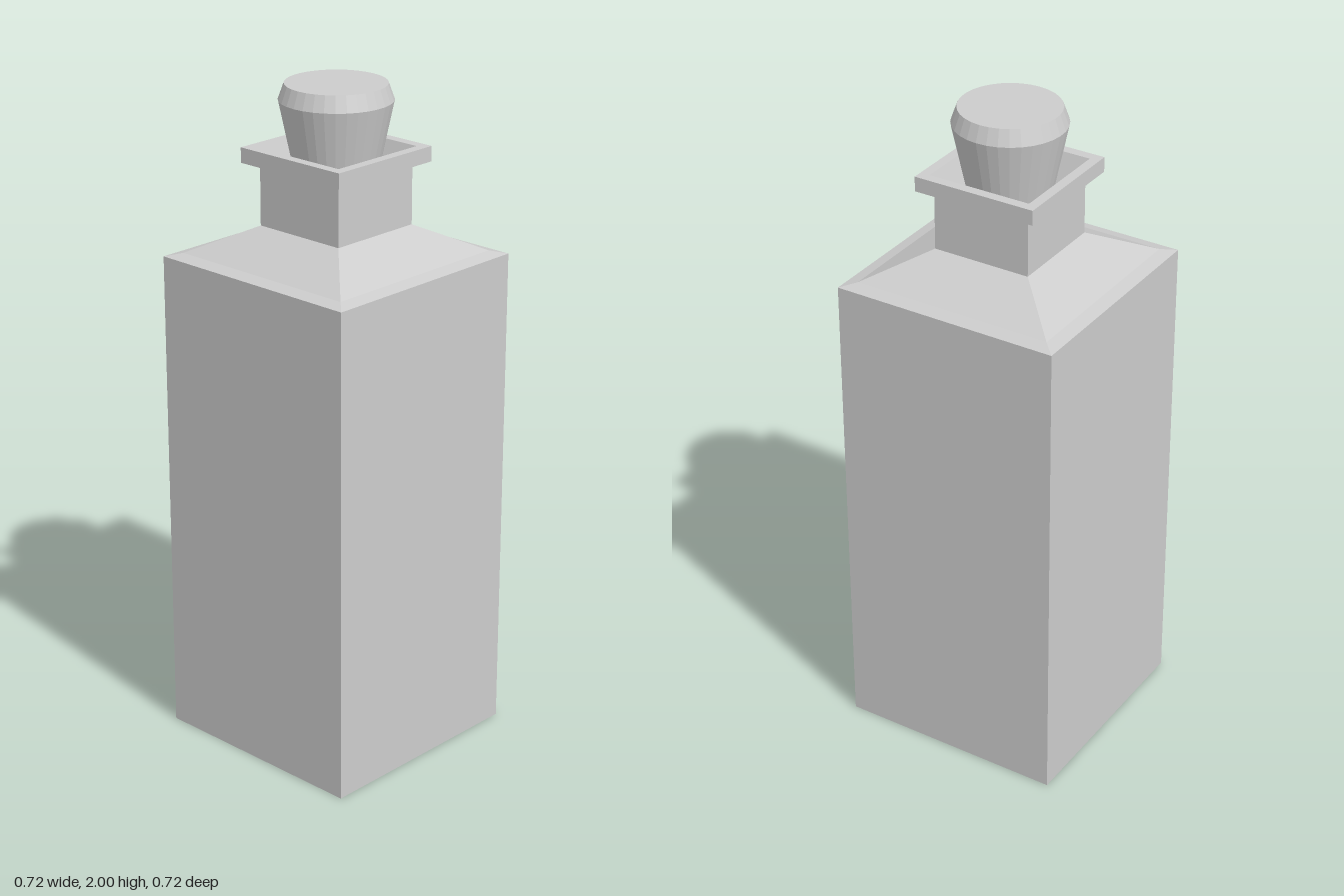
import * as THREE from 'three';

export function createModel() {
  const model = new THREE.Group();
  model.name = 'stopperedBottle';
  const grey = new THREE.MeshStandardMaterial({ color: 0xcccccc });
  grey.name = 'light grey';
  grey.flatShading = true;

  // Turned profile of [radius, y] points, listed bottom to top along the outside
  function turned(name, profile, sides, parent) {
    const points = profile.map(([r, y]) => new THREE.Vector2(r, y));
    const geometry = new THREE.LatheGeometry(points, sides, Math.PI / 4);
    const mesh = new THREE.Mesh(geometry, grey);
    mesh.name = name;
    parent.add(mesh);
  }

  // Square sections are four-sided turnings given by their half width
  const bottle = new THREE.Group();
  bottle.name = 'bottle';
  bottle.rotation.y = 0.039;
  model.add(bottle);
  const square = (name, profile) =>
    turned(name, profile.map(([h, y]) => [h * Math.SQRT2, y]), 4, bottle);

  square('body', [[0, 0], [0.349, 0], [0.349, 1.495]]);
  square('shoulder', [[0.349, 1.495], [0.309, 1.505], [0.152, 1.585]]);
  square('neck', [[0.152, 1.585], [0.152, 1.77]]);
  square('lip', [[0.152, 1.77], [0.19, 1.77], [0.19, 1.815], [0.16, 1.815]]);
  // Funnel-shaped mouth that tapers down around the stopper
  square('mouth', [[0.16, 1.815], [0.1, 1.665], [0, 1.665]]);

  // Round stopper with a bevelled top
  turned('stopper', [[0, 1.667], [0.104, 1.667], [0.164, 1.953], [0.147, 2], [0, 2]], 32, model);

  return model;
}
